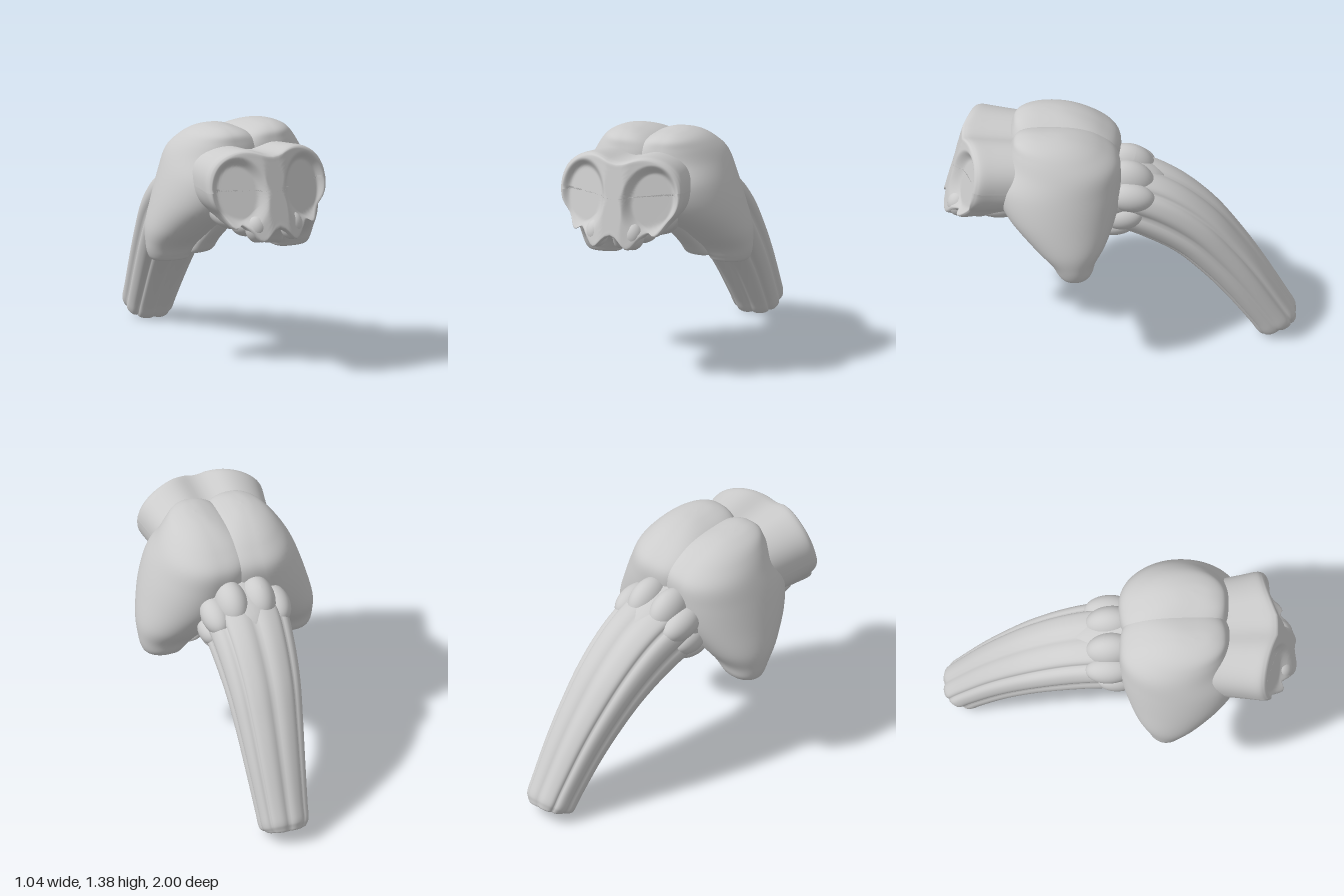
import * as THREE from 'three';

const material = new THREE.MeshStandardMaterial({ color: 0xcccccc });

// Catmull-Rom blend of table rows, returning a denser list of rows
function refine(rows, steps) {
  const out = [];
  const at = (i) => rows[Math.max(0, Math.min(rows.length - 1, i))];
  for (let i = 0; i < rows.length - 1; i++) {
    for (let k = 0; k < steps; k++) {
      const t = k / steps;
      out.push(at(i).map((b, c) => {
        const a = at(i - 1)[c], d = at(i + 1)[c], e = at(i + 2)[c];
        return b + 0.5 * t * (d - a + t * (2 * a - 5 * b + 4 * d - e + t * (3 * (b - d) + e - a)));
      }));
    }
  }
  out.push(rows[rows.length - 1]);
  return out;
}

// Closed smooth skin through rings; point(row, angle, index, rows) gives [x, y, z]
function loft(table, sides, point, steps = 6) {
  const rows = refine(table, steps), pos = [], index = [];
  rows.forEach((row, i) => {
    for (let j = 0; j < sides; j++) pos.push(...point(row, (j / sides) * Math.PI * 2, i, rows));
  });
  for (let i = 0; i < rows.length - 1; i++) {
    for (let j = 0; j < sides; j++) {
      const k = (j + 1) % sides, a = i * sides + j, b = i * sides + k;
      index.push(a, b, b + sides, a, b + sides, a + sides);
    }
  }
  const g = new THREE.BufferGeometry();
  g.setAttribute('position', new THREE.Float32BufferAttribute(pos, 3));
  g.setIndex(index);
  g.computeVertexNormals();
  return g;
}

// Rounded-box style cosine and sine
const soft = (v, n) => Math.sign(v) * Math.pow(Math.abs(v), 2 / n);
// Smooth bump of the given width around c
const bump = (v, c, width) => Math.exp(-(((v - c) / width) ** 2));

function ellipsoid(x, y, z, rx, ry, rz, tilt = 0) {
  return new THREE.SphereGeometry(1, 32, 24).scale(rx, ry, rz).rotateX(tilt).translate(x, y, z);
}

function mirrored(geometry) {
  const g = geometry.clone().scale(-1, 1, 1);
  const ix = g.index.array;
  for (let i = 0; i < ix.length; i += 3) [ix[i], ix[i + 1]] = [ix[i + 1], ix[i]];
  g.computeVertexNormals();
  return g;
}

function add(group, name, geometry) {
  const mesh = new THREE.Mesh(geometry, material);
  mesh.name = name;
  group.add(mesh);
}

function addPair(group, name, geometry) {
  add(group, name + 'Left', geometry);
  add(group, name + 'Right', mirrored(geometry));
}

// Slanted front face with a shallow oval dish on each side
function faceDepth(x, y) {
  const ax = Math.abs(x);
  const oval = Math.hypot((ax - 0.205) / 0.155, (y - 1.075) / 0.205);
  const dish = 1 - THREE.MathUtils.smoothstep(oval, 0.7, 1.02);
  return 0.945 - 0.24 * (y - 1.08) - 0.33 * Math.max(0, ax - 0.06) - 0.045 * dish;
}

export function createModel() {
  const model = new THREE.Group();
  model.name = 'figure';

  // Body: two big lobes tapering down into flat-ended stubs
  const body = new THREE.Group();
  body.name = 'body';
  body.rotation.z = 0.02;
  body.position.x = 0.02;
  model.add(body);
  // y, inner x, outer x, back z, front z
  const lobe = loft([
    [1.385, 0.14, 0.14, 0.42, 0.42],
    [1.378, 0.08, 0.2, 0.31, 0.52],
    [1.35, 0.0, 0.27, 0.2, 0.59],
    [1.3, -0.07, 0.325, 0.1, 0.615],
    [1.22, -0.11, 0.38, 0.01, 0.64],
    [1.1, -0.12, 0.435, -0.005, 0.7],
    [0.95, -0.08, 0.485, 0.01, 0.66],
    [0.8, 0.1, 0.52, 0.07, 0.51],
    [0.7, 0.2, 0.518, 0.13, 0.4],
    [0.64, 0.26, 0.505, 0.15, 0.36],
    [0.61, 0.28, 0.485, 0.17, 0.34],
    [0.604, 0.31, 0.455, 0.2, 0.31],
    [0.604, 0.385, 0.385, 0.255, 0.255],
  ], 64, ([y, x0, x1, z0, z1], a) => {
    const n = Math.cos(a) > 0 ? 2.05 : 3; // rounder outside, squarer towards the middle
    return [
      (x0 + x1) / 2 + ((x1 - x0) / 2) * soft(Math.cos(a), n),
      y,
      (z0 + z1) / 2 + ((z1 - z0) / 2) * soft(Math.sin(a), n),
    ];
  });
  addPair(body, 'bodyLobe', lobe);

  // Short inner stubs beneath the body: y, x, z, radius x, radius z
  const innerStub = loft([
    [0.98, 0.17, 0.45, 0.12, 0.18],
    [0.84, 0.17, 0.42, 0.095, 0.14],
    [0.72, 0.205, 0.34, 0.085, 0.11],
    [0.66, 0.215, 0.3, 0.08, 0.1],
    [0.645, 0.215, 0.29, 0.06, 0.075],
    [0.643, 0.215, 0.29, 0, 0],
  ], 40, ([y, x, z, rx, rz], a) => [
    x + rx * soft(Math.cos(a), 2.4),
    y - 0.15 * rx * Math.cos(a),
    z + rz * soft(Math.sin(a), 2.4),
  ]);
  addPair(body, 'innerStub', innerStub);
  add(body, 'belly', ellipsoid(0, 0.96, 0.3, 0.28, 0.2, 0.58));

  // Front block: one wide notched outline closed by the dished face
  const front = new THREE.Group();
  front.name = 'front';
  front.position.x = -0.038;
  model.add(front);
  // distance behind the face (1 = neck), outline scale
  const head = loft([
    [1, 0.86], [0.7, 0.9], [0.35, 0.96], [0.12, 1], [0.04, 0.99], [0.01, 0.965],
    [0, 0.92], [0, 0.8], [0, 0.6], [0, 0.4], [0, 0.2], [0, 0],
  ], 128, ([back, scale], a) => {
    const c = Math.cos(a), s = Math.sin(a);
    let x = 0.375 * soft(c, 2.6), y = 0.25 * soft(s, 2.6);
    x *= s < 0 ? 1 - 0.13 * s * s : 1;
    const ax = Math.abs(x);
    if (s > 0) y -= 0.05 * bump(ax, 0, 0.11);
    else y += (1 - back) * (0.045 - 0.085 * bump(ax, 0.11, 0.06) - 0.05 * bump(ax, 0.255, 0.035));
    x *= scale;
    y = 1.082 + y * scale;
    return [x, y, THREE.MathUtils.lerp(faceDepth(x, y), 0.45, back)];
  });
  add(front, 'dishedBlock', head);

  // Soft knobs and muscles on the underside of the front block
  addPair(front, 'lowerKnob', ellipsoid(0.11, 0.87, 0.91, 0.065, 0.08, 0.07));
  addPair(front, 'underKnob', ellipsoid(0.13, 0.88, 0.8, 0.08, 0.07, 0.1));
  addPair(front, 'underMuscle', ellipsoid(0.17, 0.93, 0.66, 0.1, 0.09, 0.17, 0.15));

  // Tail: curved, tapering and ribbed lengthwise; x, y, z, half width, half height
  const tail = loft([
    [0, 0.95, 0.2, 0.24, 0.18],
    [0, 0.905, -0.06, 0.24, 0.19],
    [0.01, 0.83, -0.24, 0.228, 0.19],
    [0.023, 0.703, -0.42, 0.21, 0.172],
    [0.04, 0.54, -0.572, 0.188, 0.156],
    [0.055, 0.37, -0.703, 0.168, 0.142],
    [0.067, 0.17, -0.835, 0.147, 0.129],
    [0.07, 0.092, -0.882, 0.14, 0.126],
    [0.07, 0.066, -0.898, 0.127, 0.114],
    [0.07, 0.056, -0.903, 0.1, 0.09],
    [0.07, 0.054, -0.904, 0, 0],
  ], 96, ([x, y, z, rx, ry], a, i, rows) => {
    const p = rows[Math.max(0, i - 1)], q = rows[Math.min(rows.length - 1, i + 1)];
    const len = Math.hypot(q[1] - p[1], q[2] - p[2]) || 1;
    const ty = (q[1] - p[1]) / len, tz = (q[2] - p[2]) / len;
    const groove = 1.02 - 0.11 * Math.pow(1 - Math.abs(Math.sin(4 * a)), 2);
    const u = rx * groove * soft(Math.cos(a), 2.4), v = ry * groove * soft(Math.sin(a), 2.4);
    return [x - u, y - tz * v, z + ty * v];
  });
  add(model, 'tail', tail);

  // Collar of rounded knobs where the tail meets the body
  const collar = new THREE.Group();
  collar.name = 'collar';
  model.add(collar);
  addPair(collar, 'topKnob', ellipsoid(0.08, 1.04, -0.05, 0.095, 0.125, 0.15, -0.35));
  addPair(collar, 'shoulderKnob', ellipsoid(0.18, 0.995, -0.06, 0.082, 0.085, 0.14, -0.15));
  addPair(collar, 'sideKnob', ellipsoid(0.205, 0.87, -0.02, 0.06, 0.07, 0.11, 0.1));
  addPair(collar, 'lowKnob', ellipsoid(0.14, 0.79, 0.05, 0.09, 0.065, 0.14));

  return model;
}
